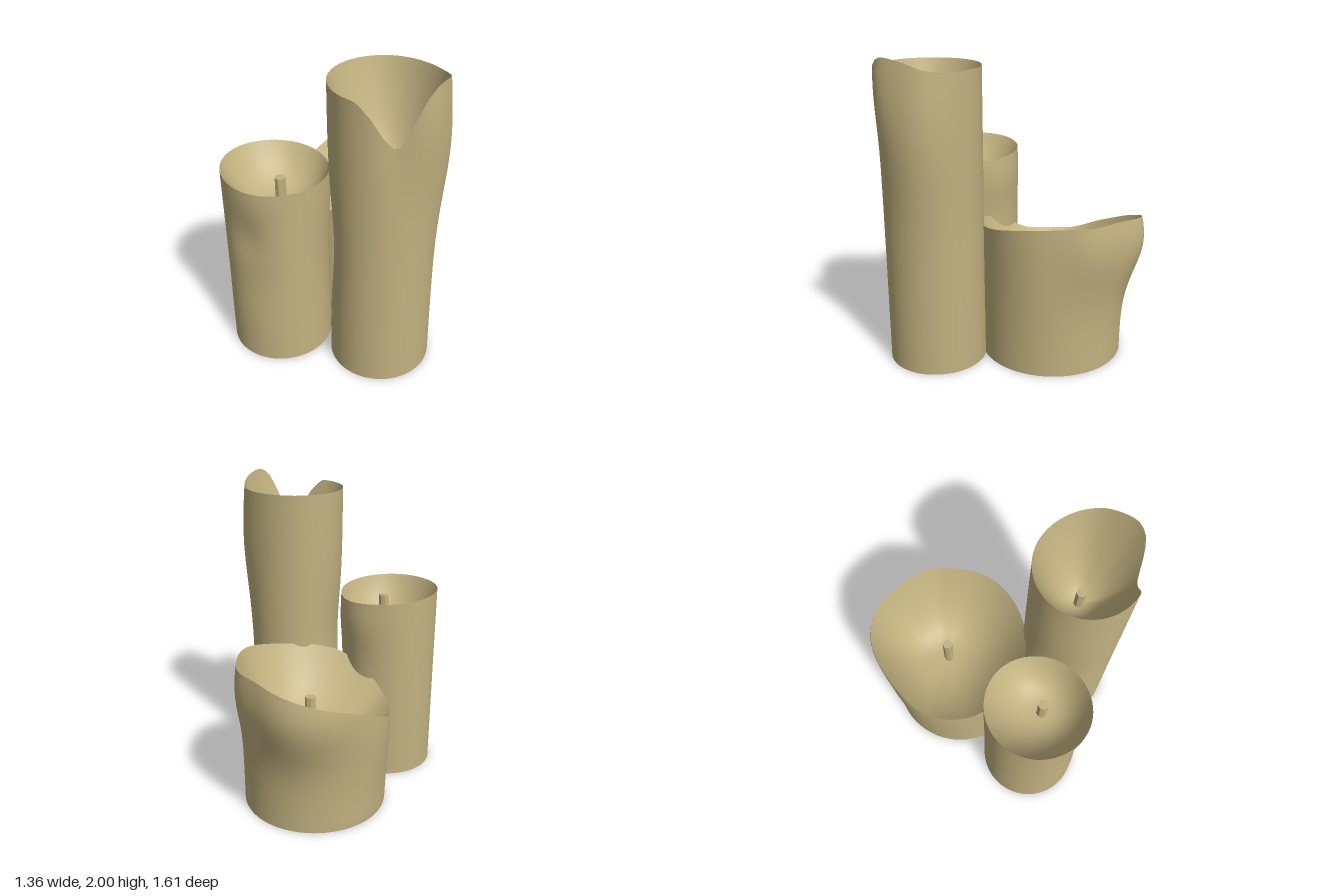
import * as THREE from 'three';

const SEG = 64;
const rad = THREE.MathUtils.degToRad;

// Smooth periodic curve through [degrees, height] keys, without overshoot
function rimHeight(keys, deg) {
  const n = keys.length;
  const key = (i) => {
    const turn = Math.floor(i / n);
    const [a, h] = keys[i - turn * n];
    return [a + 360 * turn, h];
  };
  const slope = (i) => (key(i + 1)[1] - key(i)[1]) / (key(i + 1)[0] - key(i)[0]);
  const tangent = (i) => {
    const s0 = slope(i - 1), s1 = slope(i);
    return s0 * s1 > 0 ? (2 * s0 * s1) / (s0 + s1) : 0;
  };
  let i = 0;
  while (deg >= key(i + 1)[0]) i++;
  const [a0, h0] = key(i), [a1, h1] = key(i + 1);
  const w = a1 - a0, t = (deg - a0) / w;
  return h0 + (h1 - h0) * t * t * (3 - 2 * t)
    + w * t * (1 - t) * ((1 - t) * tangent(i) - t * tangent(i + 1));
}

// Surface swept through closed rings; point(t, deg) gives [x, y, z]
function loft(rows, point) {
  const pos = [], idx = [];
  for (let i = 0; i <= rows; i++) {
    for (let j = 0; j < SEG; j++) pos.push(...point(i / rows, (j * 360) / SEG));
  }
  for (let i = 0; i < rows; i++) {
    for (let j = 0; j < SEG; j++) {
      const k = (j + 1) % SEG;
      const a = i * SEG + j, b = i * SEG + k, c = a + SEG, d = b + SEG;
      idx.push(a, c, b, b, c, d);
    }
  }
  const g = new THREE.BufferGeometry();
  g.setAttribute('position', new THREE.Float32BufferAttribute(pos, 3));
  g.setIndex(idx);
  g.computeVertexNormals();
  return g;
}

// rim: [angle, height]; bumps: [angle, angular width, height, vertical spread, amount]
const candles = [
  {
    name: 'tallCandle', x: 0.305, z: 0.475, r: 0.316,
    rim: [[0, 1.975], [25, 2.0], [37, 1.965], [46, 1.87], [55, 1.74], [65, 1.66], [78, 1.73], [91, 1.84],
      [110, 1.92], [180, 1.92], [320, 1.92], [340, 1.935]],
    bumps: [[-8, 38, 1.6, 0.5, 0.055], [180, 45, 0.85, 0.4, -0.035], [35, 20, 1.85, 0.4, 0.04],
      [66, 14, 1.75, 0.25, -0.012]],
    wick: [0.35, 0.47], floor: 1.3, wickTop: 1.47, power: 2.2,
  },
  {
    name: 'mediumCandle', x: -0.362, z: 0.47, r: 0.323,
    rim: [[0, 1.25], [90, 1.27], [180, 1.28], [270, 1.255], [320, 1.235]],
    bumps: [[-55, 45, 1.1, 0.18, 0.022], [105, 25, 0.92, 0.16, -0.025], [100, 35, 0.6, 0.25, -0.018],
      [0, 40, 0.6, 0.4, -0.01], [90, 35, 1.25, 0.15, 0.012]],
    wick: [-0.32, 0.495], floor: 1.02, wickTop: 1.21, power: 2.8,
  },
  {
    name: 'wideCandle', x: -0.04, z: -0.21, r: 0.467,
    rim: [[0, 0.985], [45, 0.915], [90, 0.865], [120, 0.77], [150, 0.665], [175, 0.66], [210, 0.77],
      [240, 0.88], [270, 0.965], [300, 1.0], [330, 1.0]],
    bumps: [[-97, 36, 0.82, 0.32, 0.13], [-44, 18, 0.85, 0.3, 0.05], [0, 30, 0.85, 0.4, 0.018],
      [195, 40, 0.6, 0.4, 0.03]],
    wick: [-0.035, -0.285], floor: 0.48, wickTop: 0.75, power: 2.6,
  },
];

function makeCandle(c, wax) {
  const group = new THREE.Group();
  group.name = c.name;
  const add = (name, geometry) => {
    const mesh = new THREE.Mesh(geometry, wax);
    mesh.name = name;
    group.add(mesh);
    return mesh;
  };

  // Radius of the wall, swollen or dented by the bumps
  const wall = (deg, y) => c.bumps.reduce((r, [a, w, h, s, amount]) => {
    const da = ((deg - a + 540) % 360) - 180;
    return r + amount * Math.exp(-((da / w) ** 2) - ((y - h) / s) ** 2);
  }, c.r);

  // Outer wall
  add('wall', loft(28, (t, deg) => {
    const y = rimHeight(c.rim, deg) * t;
    const r = t === 0 ? c.r : wall(deg, y);
    return [c.x + r * Math.cos(rad(deg)), y, c.z + r * Math.sin(rad(deg))];
  }));

  // Melted bowl, sinking from the rim to the foot of the wick
  add('bowl', loft(20, (t, deg) => {
    const rim = rimHeight(c.rim, deg);
    const s = 1 - t;
    const r = wall(deg, rim) * s;
    const pull = 1 - s * s;
    return [
      c.x + (c.wick[0] - c.x) * pull + r * Math.cos(rad(deg)),
      c.floor + (rim - c.floor) * Math.pow(s, c.power),
      c.z + (c.wick[1] - c.z) * pull + r * Math.sin(rad(deg)),
    ];
  }));

  // Flat underside
  const base = add('base', new THREE.CircleGeometry(c.r, SEG));
  base.rotation.x = Math.PI / 2;
  base.position.set(c.x, 0, c.z);

  // Faceted wick
  const length = c.wickTop - c.floor + 0.05;
  const wick = add('wick', new THREE.CylinderGeometry(0.034, 0.034, length, 7).toNonIndexed());
  wick.geometry.computeVertexNormals();
  wick.position.set(c.wick[0], c.wickTop - length / 2, c.wick[1]);
  return group;
}

export function createModel() {
  const wax = new THREE.MeshStandardMaterial({ color: 0xc2b280 });
  wax.name = 'wax';
  const model = new THREE.Group();
  model.name = 'candleGroup';
  candles.forEach((c) => model.add(makeCandle(c, wax)));
  return model;
}
